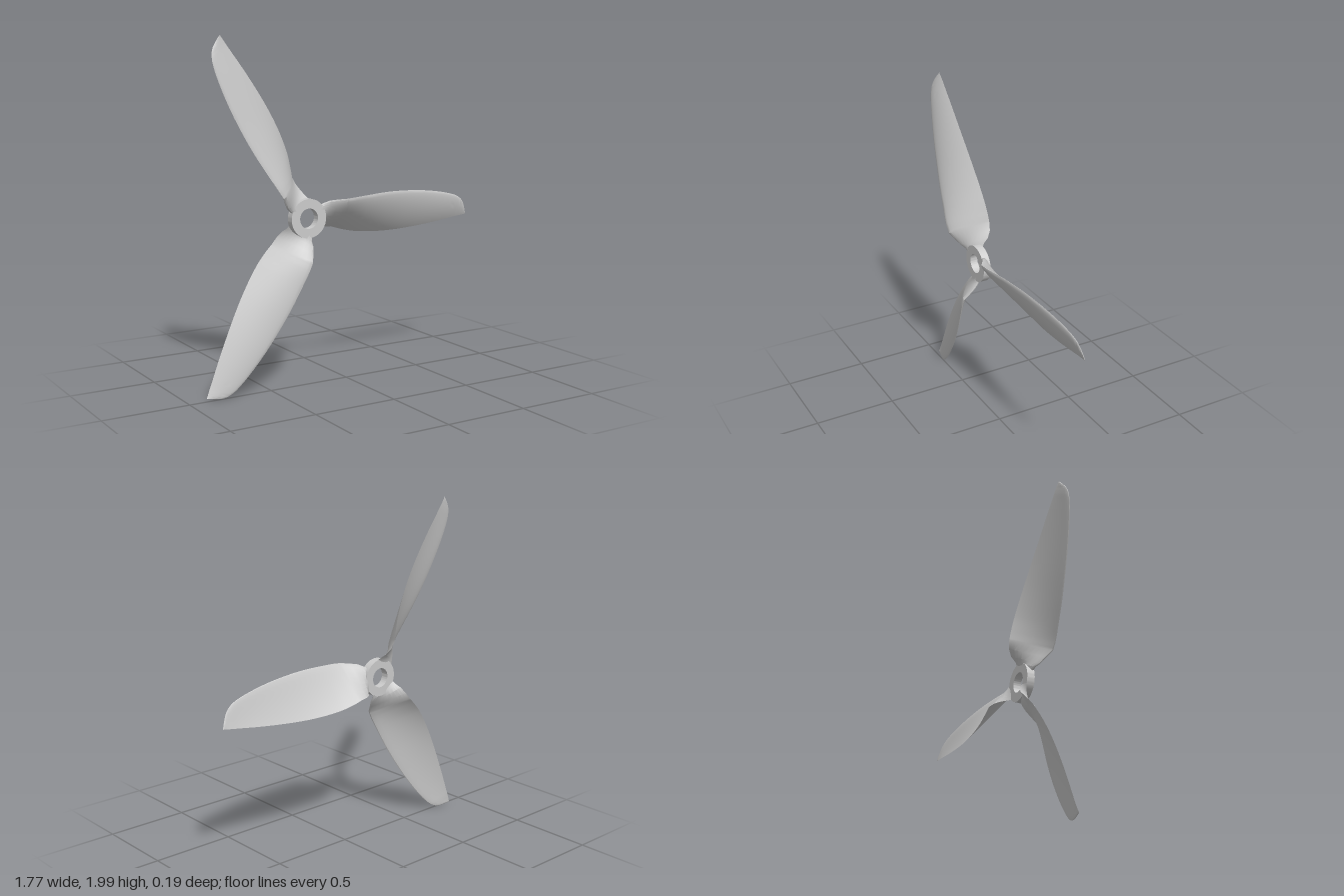
import * as THREE from 'three';
import { toCreasedNormals } from 'three/addons/utils/BufferGeometryUtils.js';

const HUB = [-0.26, 0.98];
const material = new THREE.MeshStandardMaterial({ color: 0xcccccc, side: THREE.DoubleSide });

// Blade stations: radius, leading y, leading z, trailing y, trailing z, thickness, camber
const ROOT = [
  [0.075, 0.07, 0.012, -0.07, -0.012, 0.034, 0],
  [0.105, 0.083, 0.02, -0.07, -0.035, 0.034, 0],
  [0.13, 0.095, 0.04, -0.073, -0.066, 0.032, 0.004],
  [0.17, 0.101, 0.064, -0.074, -0.09, 0.03, 0.008],
];
const BLADE = [
  [0.215, 0.106, 0.093, -0.077, -0.098, 0.028, 0.012],
  [0.27, 0.111, 0.094, -0.094, -0.093, 0.027, 0.014],
  [0.36, 0.117, 0.085, -0.114, -0.082, 0.025, 0.015],
  [0.5, 0.124, 0.07, -0.125, -0.066, 0.023, 0.014],
  [0.64, 0.122, 0.054, -0.123, -0.053, 0.021, 0.012],
  [0.78, 0.112, 0.039, -0.112, -0.043, 0.019, 0.01],
  [0.92, 0.092, 0.023, -0.096, -0.036, 0.016, 0.008],
  [1.03, 0.066, 0.01, -0.08, -0.031, 0.013, 0.005],
  [1.08, 0.042, 0.002, -0.073, -0.029, 0.011, 0.003],
  [1.11, 0.012, -0.006, -0.069, -0.027, 0.008, 0.002],
  [1.13, -0.03, -0.015, -0.066, -0.025, 0.005, 0],
  [1.142, -0.063, -0.022, -0.065, -0.023, 0.001, 0],
];

// Smooth sampling of the stations, keeping the root segment straight
function stations(perSpan) {
  const out = [...ROOT];
  for (let i = 0; i < BLADE.length - 1; i++) {
    const p = [i - 1, i, i + 1, i + 2].map(k => BLADE[Math.min(Math.max(k, 0), BLADE.length - 1)]);
    for (let s = 0; s < perSpan; s++) {
      const t = s / perSpan, t2 = t * t, t3 = t2 * t;
      out.push(p[1].map((v, c) => {
        // tangents scaled by the uneven radius spacing
        const h = p[2][0] - p[1][0];
        const m1 = (p[2][c] - p[0][c]) / (p[2][0] - p[0][0]) * h;
        const m2 = (p[3][c] - v) / (p[3][0] - p[1][0]) * h;
        return (2 * t3 - 3 * t2 + 1) * v + (t3 - 2 * t2 + t) * m1
          + (3 * t2 - 2 * t3) * p[2][c] + (t3 - t2) * m2;
      }));
    }
  }
  out.push(BLADE[BLADE.length - 1]);
  return out;
}

// Cambered aerofoil loop: front face lead to trail, then back face to lead
function section([r, ly, lz, ty, tz, thick, camber], n) {
  const dy = ty - ly, dz = tz - lz, len = Math.hypot(dy, dz) || 1;
  const points = [];
  for (let j = 0; j < 2 * n; j++) {
    const front = j <= n;
    const u = (1 - Math.cos(Math.PI * (front ? j : 2 * n - j) / n)) / 2;
    const half = thick * 1.3 * Math.sqrt(u) * (1 - u);
    const off = camber * 4 * u * (1 - u) + (front ? half : -half);
    points.push([r, ly + dy * u + dz / len * off, lz + dz * u - dy / len * off]);
  }
  return points;
}

function bladeGeometry() {
  const n = 12, m = 2 * n, rings = stations(4).map(s => section(s, n));
  const index = [];
  for (let k = 0; k < rings.length - 1; k++) {
    for (let j = 0; j < m; j++) {
      const a = k * m + j, d = k * m + (j + 1) % m, b = a + m, c = d + m;
      index.push(a, d, c, a, c, b);
    }
  }
  const g = new THREE.BufferGeometry();
  g.setAttribute('position', new THREE.Float32BufferAttribute(rings.flat(2), 3));
  g.setIndex(index);
  return toCreasedNormals(g, 0.45);
}

// Flat ring with a shaft hole
function hubGeometry() {
  const shape = new THREE.Shape().absarc(0, 0, 0.112, 0, Math.PI * 2);
  shape.holes.push(new THREE.Path().absarc(0, 0, 0.058, 0, Math.PI * 2, true));
  const g = new THREE.ExtrudeGeometry(shape, { depth: 0.046, bevelEnabled: false, curveSegments: 48 });
  g.translate(0, 0, -0.023);
  return toCreasedNormals(g, 0.5);
}

export function createModel() {
  const model = new THREE.Group();
  model.name = 'propeller';

  const hub = new THREE.Mesh(hubGeometry(), material);
  hub.name = 'hub';
  hub.position.set(HUB[0], HUB[1], 0);
  model.add(hub);

  // Three equal blades around the hub
  const geometry = bladeGeometry();
  for (let i = 0; i < 3; i++) {
    const blade = new THREE.Mesh(geometry, material);
    blade.name = `blade${i + 1}`;
    blade.position.set(HUB[0], HUB[1], 0);
    blade.rotation.z = i * Math.PI * 2 / 3;
    model.add(blade);
  }
  return model;
}
